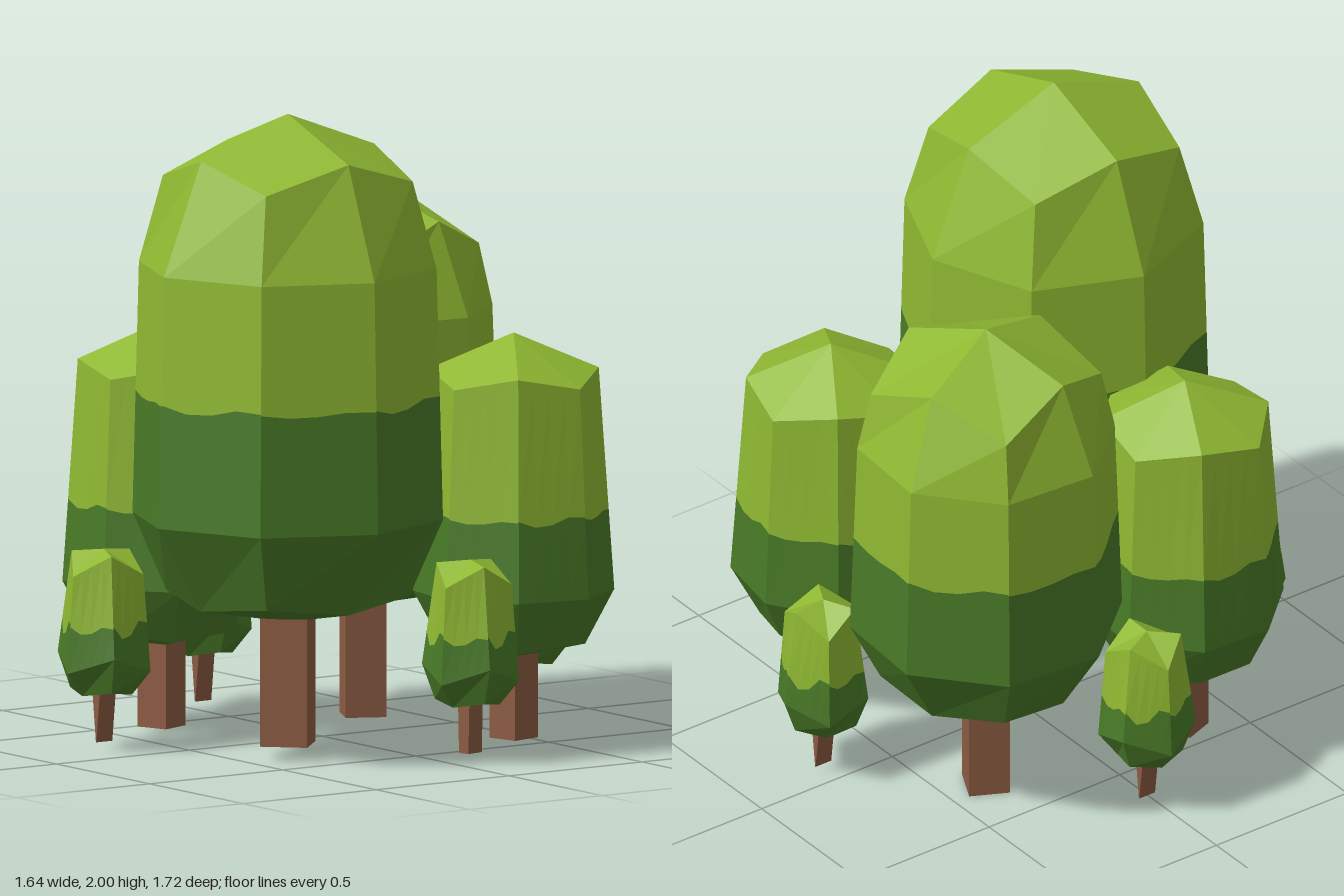
import * as THREE from 'three';

const mat = (name, color) => {
  const m = new THREE.MeshStandardMaterial({ color, flatShading: true });
  m.name = name;
  return m;
};

export function createModel() {
  const lightLeaf = mat('light leaf green', 0x8fb832);
  const darkLeaf = mat('dark leaf green', 0x497a27);
  const bark = mat('bark brown', 0x8b5b42);
  const model = new THREE.Group();
  model.name = 'treeCluster';

  const meshFrom = (name, points, material) => {
    const g = new THREE.BufferGeometry();
    g.setAttribute('position', new THREE.Float32BufferAttribute(points.flatMap(p => p.toArray()), 3));
    g.computeVertexNormals();
    const m = new THREE.Mesh(g, material);
    m.name = name;
    return m;
  };

  // Faceted crown. Each ring is [radius, y, cornerRadius, cornerY]; the band after
  // ring number "band" is cut by a wavy line at height "split" into two greens.
  function crown({ sides, turn, apex, base, rings, band, split, wave }) {
    const light = [], dark = [];
    const point = (ring, i) => {
      const [r, y, r2 = r, y2 = y] = ring;
      const a = turn + (i * 2 * Math.PI) / sides;
      const odd = i % 2 === 1;
      const rad = odd ? r2 : r;
      return new THREE.Vector3(Math.cos(a) * rad, odd ? y2 : y, Math.sin(a) * rad);
    };
    const quad = (out, a, b, c, d) => out.push(a, b, c, a, c, d);
    const top = new THREE.Vector3(0, apex, 0), bottom = new THREE.Vector3(0, base, 0);
    const last = rings.length - 1;
    for (let i = 0; i < sides; i++) {
      const j = (i + 1) % sides;
      light.push(top, point(rings[0], j), point(rings[0], i));
      dark.push(bottom, point(rings[last], i), point(rings[last], j));
      for (let k = 0; k < last; k++) {
        const a = point(rings[k], i), b = point(rings[k], j);
        const c = point(rings[k + 1], j), d = point(rings[k + 1], i);
        if (k !== band) {
          quad(k < band ? light : dark, a, b, c, d);
          continue;
        }
        // Narrow strips follow the wavy colour line
        const steps = 4;
        const cut = s => {
          const t = s / steps;
          const hi = a.clone().lerp(b, t), lo = d.clone().lerp(c, t);
          const y = split + wave * Math.sin((i + t) * Math.PI * 2 + 0.6) * (i % 2 ? 1 : 0.5);
          return [hi, hi.clone().lerp(lo, (hi.y - y) / (hi.y - lo.y)), lo];
        };
        for (let s = 0; s < steps; s++) {
          const [h0, m0, l0] = cut(s), [h1, m1, l1] = cut(s + 1);
          quad(light, h0, h1, m1, m0);
          quad(dark, m0, m1, l1, l0);
        }
      }
    }
    const g = new THREE.Group();
    g.name = 'crown';
    g.add(meshFrom('upperCrown', light, lightLeaf), meshFrom('lowerCrown', dark, darkLeaf));
    return g;
  }

  function addTree(name, x, z, crownSpec, trunk) {
    const tree = new THREE.Group();
    tree.name = name;
    tree.position.set(x, 0, z);
    trunk.name = 'trunk';
    tree.add(crown(crownSpec), trunk);
    model.add(tree);
  }

  // Square trunk standing on one of its corners in plan
  const squareTrunk = (r, y0, y1, turn) => {
    const m = new THREE.Mesh(new THREE.CylinderGeometry(r, r, y1 - y0, 4), bark);
    m.position.y = (y0 + y1) / 2;
    m.rotation.y = -turn;
    return m;
  };

  // Small wedge trunk, narrowing to an edge at the ground
  const wedgeTrunk = (turn, tip) => {
    const g = new THREE.BoxGeometry(0.05, 0.2, 0.06);
    const p = g.attributes.position;
    for (let i = 0; i < p.count; i++) if (p.getY(i) < 0) p.setX(i, p.getX(i) * tip);
    g.computeVertexNormals();
    const m = new THREE.Mesh(g, bark);
    m.position.y = 0.125;
    m.rotation.y = turn;
    return m;
  };

  const deg = Math.PI / 180;

  // Two large trees
  addTree('largestTree', 0.285, 0.33, {
    sides: 8, turn: 0, apex: 2, base: 0.42, band: 1, split: 1.125, wave: 0.015,
    rings: [[0.325, 1.88, 0.39, 1.8], [0.465, 1.53], [0.485, 0.75], [0.33, 0.48, 0.38, 0.51]],
  }, squareTrunk(0.104, 0.04, 0.6, 0));
  addTree('largeTree', -0.295, -0.36, {
    sides: 8, turn: -18.4 * deg, apex: 1.66, base: 0.34, band: 1, split: 0.94, wave: 0.015,
    rings: [[0.29, 1.56, 0.36, 1.46], [0.402, 1.27], [0.425, 0.62], [0.29, 0.4, 0.33, 0.43]],
  }, squareTrunk(0.09, 0, 0.5, -18.4 * deg));

  // Two medium trees
  for (const [name, x, z, turn] of [
    ['mediumTreeFront', -0.405, 0.32, 25 * deg],
    ['mediumTreeBack', 0.412, -0.43, 32 * deg],
  ]) {
    addTree(name, x, z, {
      sides: 8, turn, apex: 1.27, base: 0.26, band: 0, split: 0.715, wave: 0.015,
      rings: [[0.262, 1.16, 0.275, 1.12], [0.31, 0.47], [0.22, 0.3, 0.24, 0.32]],
    }, squareTrunk(0.075, 0.01, 0.4, turn));
  }

  // Four saplings
  for (const [name, x, z, turn, trunkTurn, tip] of [
    ['saplingRight', -0.675, -0.025, 0.1, 0, 0.05],
    ['saplingBack', 0.063, -0.718, 0.5, 0, 0.05],
    ['saplingLeft', 0.672, -0.085, 0.2, 0.2, 0.8],
    ['saplingFront', -0.16, 0.708, 0.4, 0, 0.05],
  ]) {
    addTree(name, x, z, {
      sides: 6, turn, apex: 0.625, base: 0.175, band: 0, split: 0.385, wave: 0.03,
      rings: [[0.105, 0.615, 0.128, 0.55], [0.15, 0.3, 0.15, 0.25], [0.11, 0.19, 0.09, 0.175]],
    }, wedgeTrunk(trunkTurn, tip));
  }
  return model;
}
